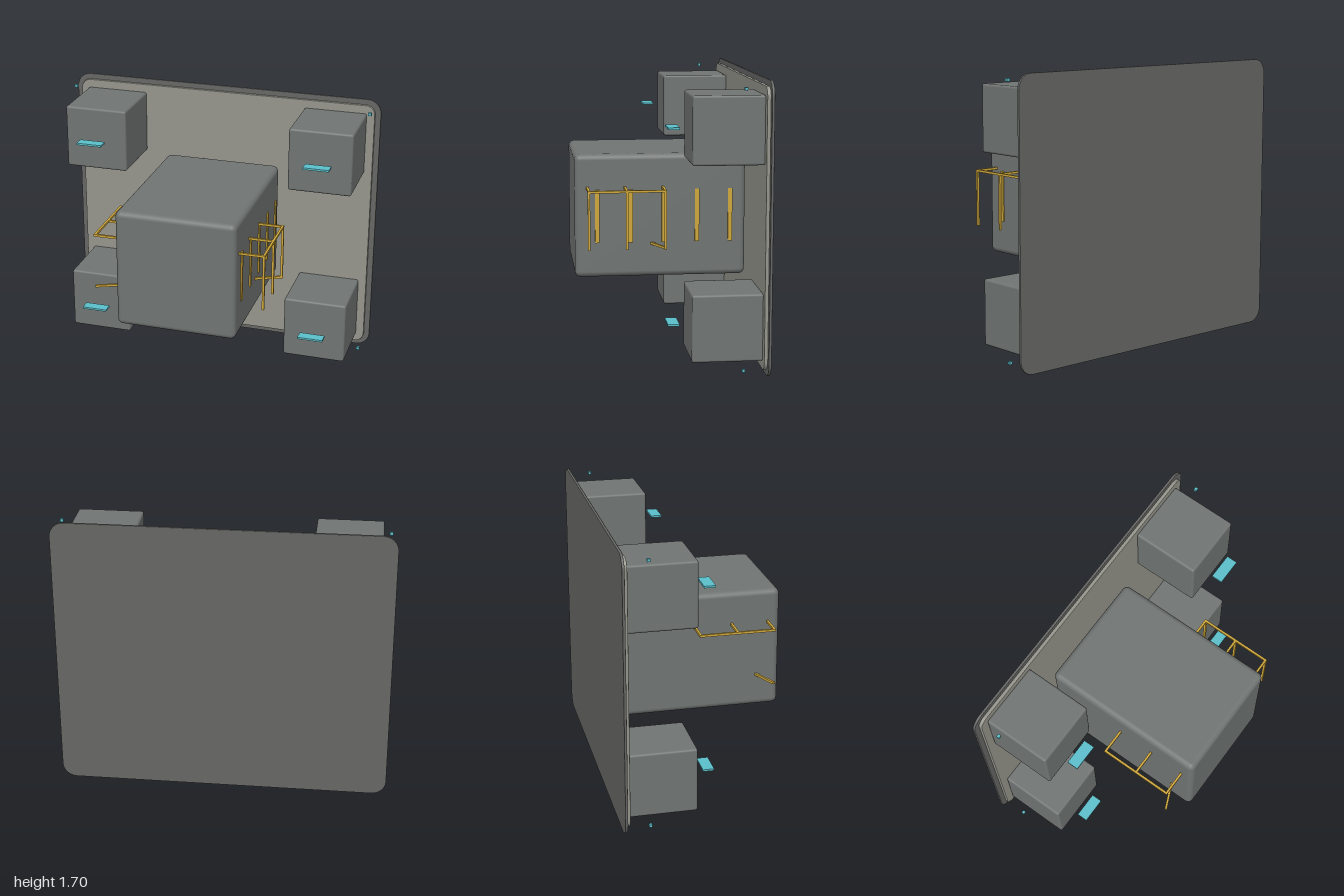
import * as THREE from 'three';
import { RoundedBoxGeometry } from 'three/addons/geometries/RoundedBoxGeometry.js';

const paint = (color) => new THREE.MeshStandardMaterial({ color });
const hull = paint(0x707573), plate = paint(0x666765), panel = paint(0x96968d);
const dark = paint(0x505453), gold = paint(0xd0a83a), cyan = paint(0x5bbfcb);

export function createModel() {
  const model = new THREE.Group();

  const add = (name, geometry, material, x, y, z, parent = model) => {
    const mesh = new THREE.Mesh(geometry, material);
    mesh.name = name;
    mesh.position.set(x, y, z);
    parent.add(mesh);
    return mesh;
  };

  // Upright sheet with rounded corners and a small bevel
  const sheet = (w, h, r, depth, bevel) => {
    const s = new THREE.Shape(), a = w / 2 - bevel, b = h / 2 - bevel;
    s.moveTo(-a + r, -b);
    s.lineTo(a - r, -b).absarc(a - r, -b + r, r, -Math.PI / 2, 0);
    s.lineTo(a, b - r).absarc(a - r, b - r, r, 0, Math.PI / 2);
    s.lineTo(-a + r, b).absarc(-a + r, b - r, r, Math.PI / 2, Math.PI);
    s.lineTo(-a, -b + r).absarc(-a + r, -b + r, r, Math.PI, Math.PI * 1.5);
    const g = new THREE.ExtrudeGeometry(s, {
      depth: depth - 2 * bevel, bevelThickness: bevel, bevelSize: bevel,
      bevelSegments: 2, curveSegments: 8,
    });
    return g.translate(0, 0, -depth / 2 + bevel);
  };

  // Square bar between two points
  const bar = (name, from, to, parent) => {
    const a = new THREE.Vector3(...from), b = new THREE.Vector3(...to);
    const mid = a.clone().add(b).multiplyScalar(0.5);
    const t = 0.014;
    const mesh = add(name, new THREE.BoxGeometry(t, t, a.distanceTo(b) + t), gold, mid.x, mid.y, mid.z, parent);
    mesh.quaternion.setFromUnitVectors(new THREE.Vector3(0, 0, 1), b.sub(a).normalize());
  };

  // Back wall in two layers
  add('backPlate', sheet(2, 1.7, 0.085, 0.016, 0.003), plate, 0, 0.85, -0.532);
  add('backPanel', sheet(1.93, 1.634, 0.055, 0.022, 0.004), panel, 0, 0.85, -0.514);

  // Central body and the slab beneath it
  add('mainBody', new RoundedBoxGeometry(0.745, 0.744, 1.027, 4, 0.035), hull, 0, 0.851, 0.027);
  add('bottomSlab', new THREE.BoxGeometry(0.5, 0.024, 0.4), dark, 0, 0.477, -0.263);

  // Corner pods, light strips and marker lamps
  for (const sx of [-1, 1]) {
    for (const sy of [-1, 1]) {
      add('cornerPod', new RoundedBoxGeometry(0.395, 0.396, 0.414, 3, 0.014), hull, sx * 0.718, 0.851 + sy * 0.568, -0.301);
      add('lightStrip', new THREE.BoxGeometry(0.16, 0.012, 0.068), cyan, sx * 0.72, 0.851 + sy * 0.57, -0.002);
      add('markerLamp', new THREE.BoxGeometry(0.02, 0.018, 0.018), cyan, sx * 0.955, 0.85 + sy * 0.806, -0.385);
    }
  }

  // Vertical trim strips on the left side
  for (let i = -2; i <= 2; i++) {
    add('trimStrip', new THREE.BoxGeometry(0.02, 0.32, 0.026), gold, 0.371, 0.85, 0.007 + i * 0.2);
  }

  // Side rails: top bar, three brackets and a low slanted brace
  const top = 1.022, low = 0.682, out = 0.525, wall = 0.365;
  const posts = [0.014, 0.241, 0.465];
  for (const s of [-1, 1]) {
    const rail = new THREE.Group();
    rail.name = s > 0 ? 'leftRail' : 'rightRail';
    model.add(rail);
    bar('topBar', [s * out, top, posts[0]], [s * out, top, posts[2]], rail);
    for (const z of posts) {
      bar('bracket', [s * wall, top, z], [s * out, top, z], rail);
      if (s > 0) bar('post', [out, low, z], [out, top, z], rail);
    }
    const z = s > 0 ? posts[0] : posts[2];
    bar('brace', [s * out, low, z], [s * wall, low, z + s * 0.07], rail);
  }

  return model;
}
